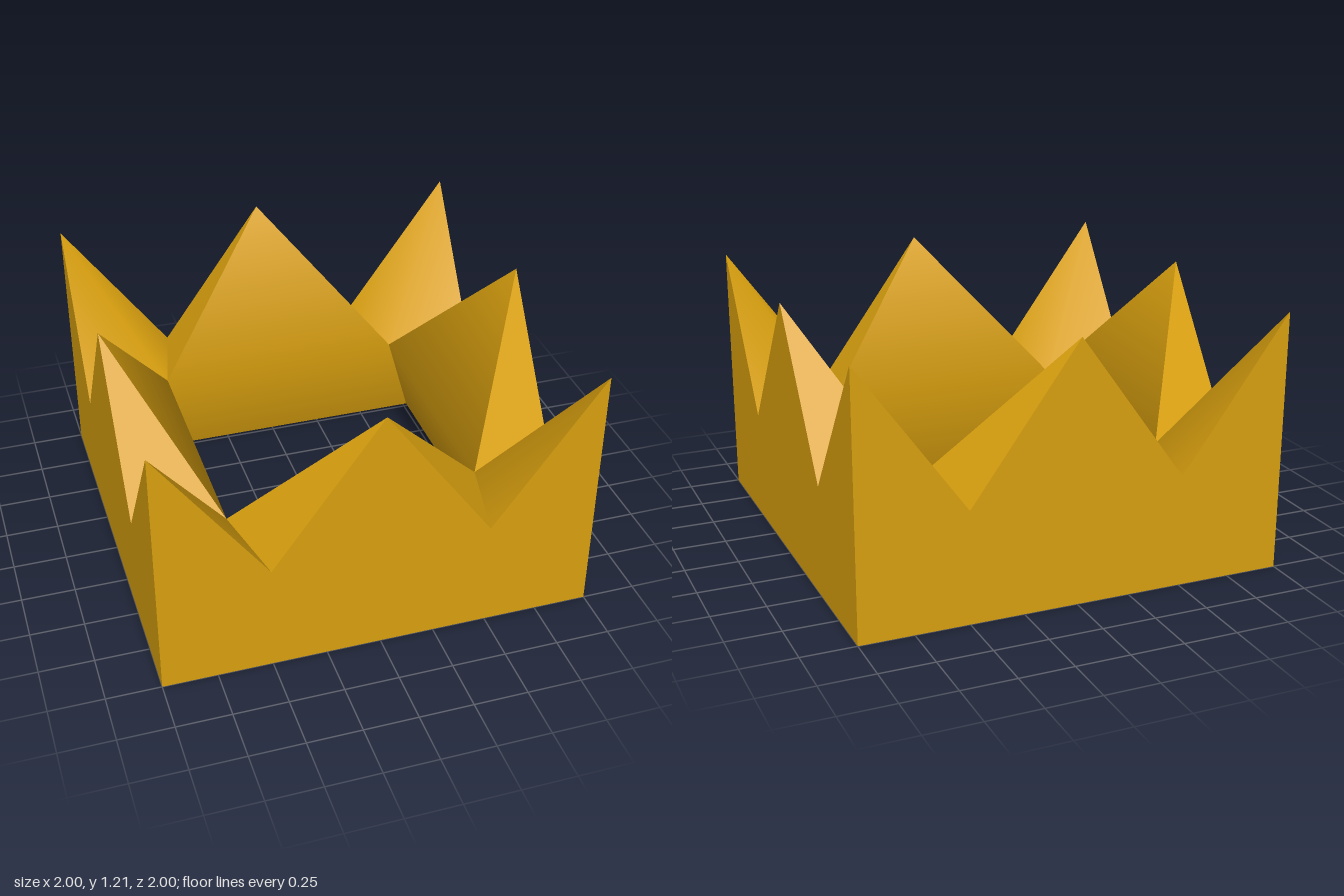
import * as THREE from 'three';
import { toCreasedNormals } from 'three/addons/utils/BufferGeometryUtils.js';

const PEAK = 1.21, VALLEY = 0.52; // heights of points and notches
const INNER = 0.59, BASE = 0.77;  // half widths of the opening: top and bottom

// Triangles listed as corner points, with gentle folds smoothed
function facets(...points) {
  const geometry = new THREE.BufferGeometry();
  geometry.setAttribute('position', new THREE.Float32BufferAttribute(points.flat(), 3));
  return toCreasedNormals(geometry, Math.PI / 3);
}

export function createModel() {
  const crown = new THREE.Group();
  crown.name = 'crown';
  const gold = new THREE.MeshStandardMaterial({ color: 0xd9a00f });
  gold.name = 'gold';

  const add = (parent, name, geometry) => {
    const mesh = new THREE.Mesh(geometry, gold);
    mesh.name = name;
    parent.add(mesh);
  };

  // Key points of the side that faces +z
  const tip = [0, PEAK, 1];
  const corner = [1, PEAK, 1];
  const notchR = [0.5, VALLEY, 1], notchL = [-0.5, VALLEY, 1];
  const notchNext = [1, VALLEY, 0.5];
  const innerR = [INNER, VALLEY, INNER], innerL = [-INNER, VALLEY, INNER];
  const baseR = [BASE, 0, BASE], baseL = [-BASE, 0, BASE], baseMid = [0, 0, BASE];

  // Zigzag outer face
  const outline = new THREE.Shape([
    [-1, 0], [1, 0], [1, PEAK], [0.5, VALLEY], [0, PEAK], [-0.5, VALLEY], [-1, PEAK],
  ].map(([x, y]) => new THREE.Vector2(x, y)));
  const outer = new THREE.ShapeGeometry(outline).translate(0, 0, 1);

  // Sloping flanks of the middle point
  const flanks = facets(notchR, innerR, tip, notchL, tip, innerL);

  // Inside of the middle point and the inner wall below it
  const inner = facets(
    tip, innerR, innerL,
    innerR, baseMid, innerL,
    innerR, baseR, baseMid,
    innerL, baseMid, baseL,
  );

  // Inner slope of the corner point
  const cornerSlope = facets(corner, innerR, notchR, corner, notchNext, innerR);

  for (let i = 0; i < 4; i++) {
    const side = new THREE.Group();
    side.name = `side${i + 1}`;
    side.rotation.y = i * Math.PI / 2;
    add(side, 'outerFace', outer);
    add(side, 'middlePointFlanks', flanks);
    add(side, 'innerWall', inner);
    add(side, 'cornerPointSlope', cornerSlope);
    crown.add(side);
  }

  // Square bottom rim
  const square = (s) => [[-s, -s], [s, -s], [s, s], [-s, s]].map(([x, y]) => new THREE.Vector2(x, y));
  const rim = new THREE.Shape(square(1));
  rim.holes.push(new THREE.Path(square(BASE)));
  add(crown, 'bottomRim', new THREE.ShapeGeometry(rim).rotateX(Math.PI / 2));

  return crown;
}
